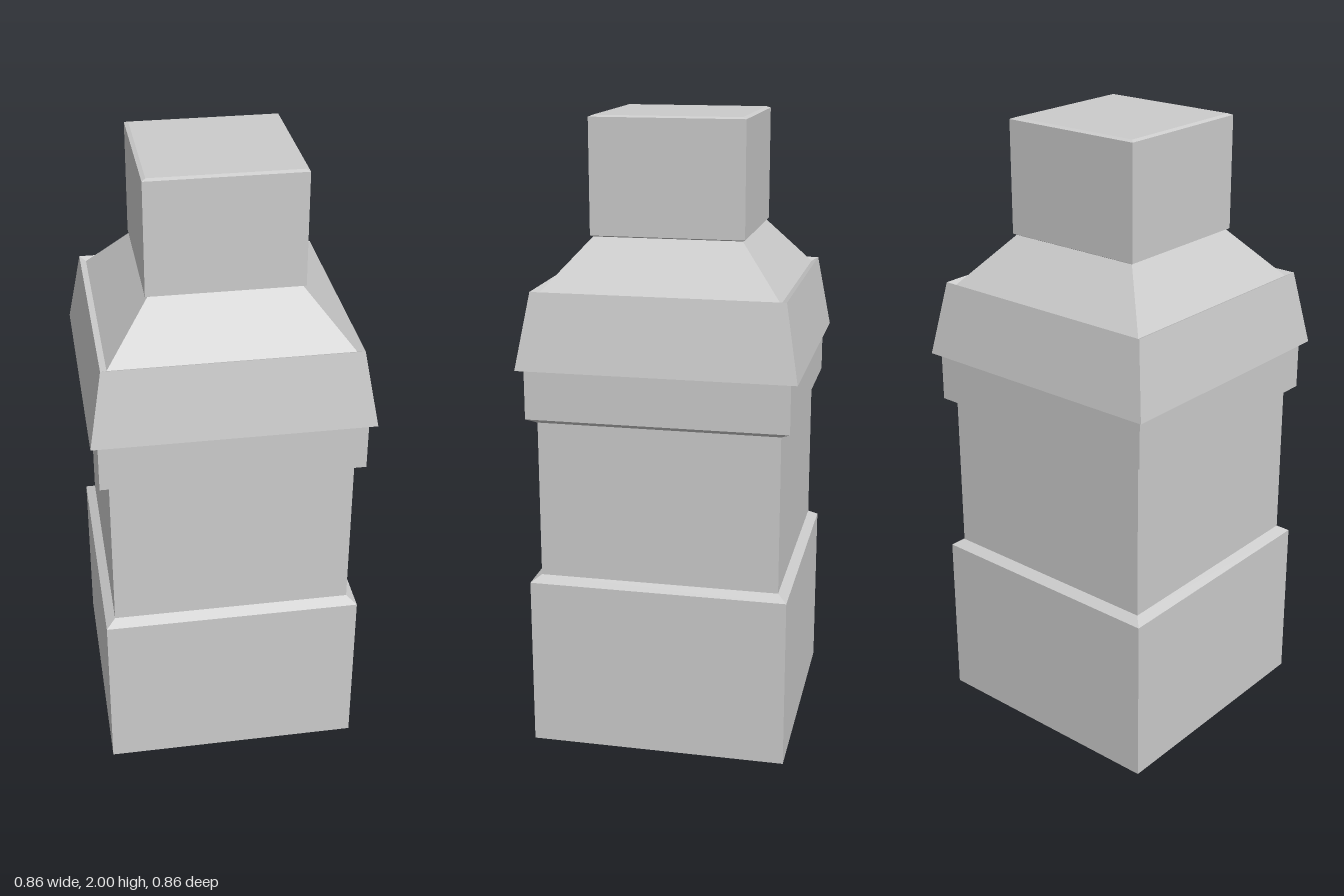
import * as THREE from 'three';

const material = new THREE.MeshStandardMaterial({ color: 0xcccccc, flatShading: true });

// Square tier: profile of [half width, height] points, bottom to top, swept round four sides
function tier(name, profile) {
  const points = profile.map(([half, y]) => new THREE.Vector2(half * Math.SQRT2, y));
  const geometry = new THREE.LatheGeometry(points, 4, Math.PI / 4).toNonIndexed();
  geometry.computeVertexNormals();
  const mesh = new THREE.Mesh(geometry, material);
  mesh.name = name;
  return mesh;
}

export function createModel() {
  const group = new THREE.Group();
  group.name = 'squarePillar';
  group.add(
    // Plinth with a closed underside and bevelled upper edge
    tier('plinth', [[0, 0], [0.41, 0], [0.41, 0.55], [0.38, 0.57]]),
    // Recessed shaft
    tier('shaft', [[0.38, 0.57], [0.38, 1.075]]),
    // Projecting band with a bevelled underside
    tier('band', [[0.38, 1.075], [0.41, 1.092], [0.41, 1.25]]),
    // Flared collar with a thin rim that dips inwards
    tier('collar', [[0.41, 1.25], [0.432, 1.25], [0.39, 1.487], [0.37, 1.477]]),
    // Sloping shoulder
    tier('shoulder', [[0.37, 1.477], [0.232, 1.635]]),
    // Top block with small bevels above and below
    tier('topBlock', [[0.232, 1.635], [0.24, 1.639], [0.24, 1.995], [0.228, 2], [0, 2]])
  );
  return group;
}
